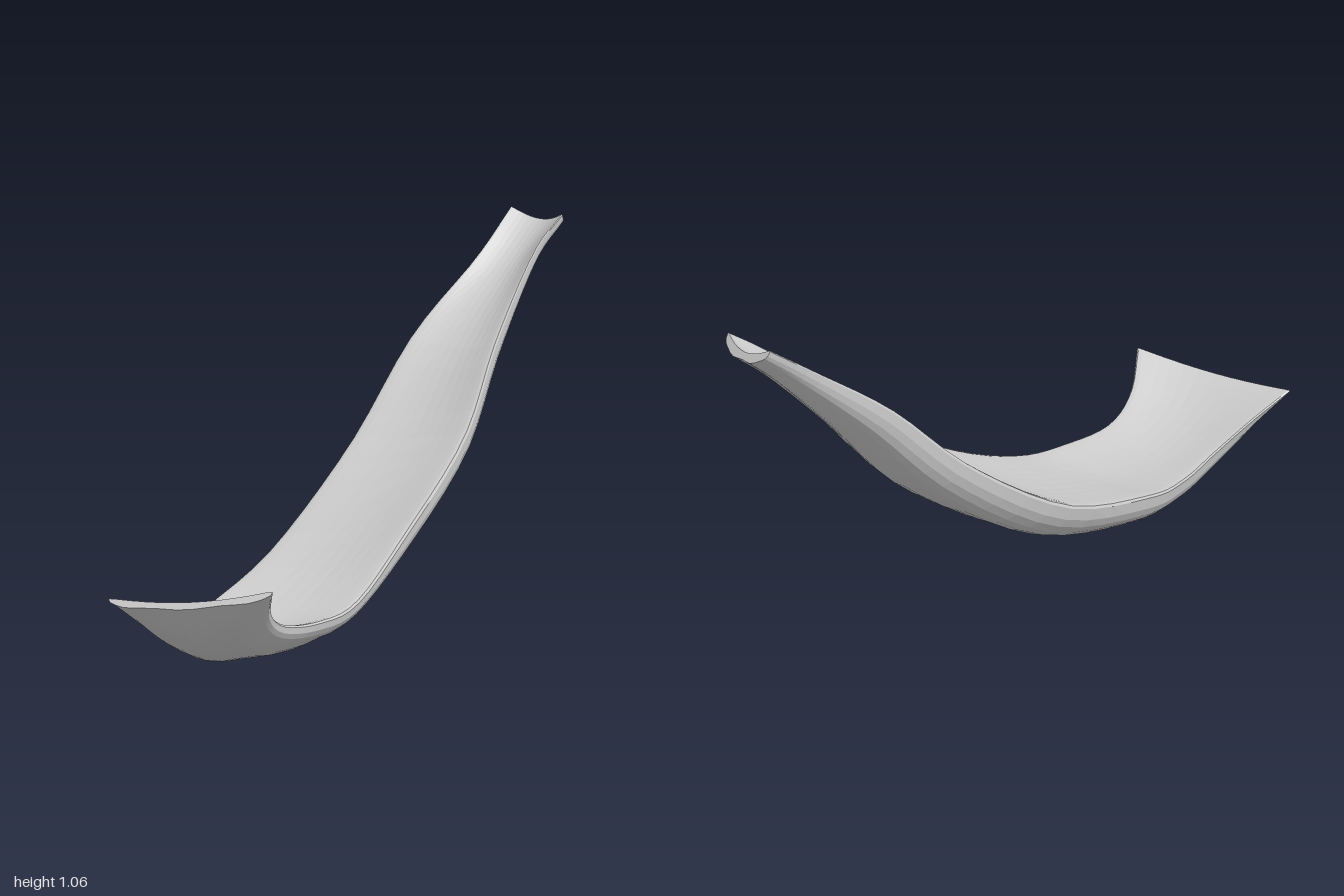
import * as THREE from 'three';

// Stations from the narrow back end to the flared front lip:
// left rim xyz, right rim xyz, [outer depth, trough depth, lean of the belly to the right-hand side of the front view's left]
const STATIONS = [
  [[0.365, 1.05, -0.99], [0.525, 1.045, -0.9], [0.055, 0.04, 0]],
  [[0.285, 0.925, -0.83], [0.46, 0.95, -0.78], [0.07, 0.045, 0]],
  [[0.13, 0.73, -0.61], [0.39, 0.735, -0.5], [0.11, 0.038, 0.05]],
  [[-0.015, 0.455, -0.34], [0.335, 0.5, -0.24], [0.122, 0.032, 0.1]],
  [[-0.19, 0.21, 0.0], [0.21, 0.275, 0.12], [0.122, 0.03, 0.2]],
  [[-0.32, 0.11, 0.35], [0.115, 0.135, 0.43], [0.108, 0.03, 0.25]],
  [[-0.36, 0.09, 0.53], [0.03, 0.108, 0.61], [0.098, 0.03, 0.25]],
  [[-0.39, 0.105, 0.69], [-0.05, 0.12, 0.75], [0.092, 0.032, 0.25]],
  [[-0.455, 0.16, 0.82], [-0.075, 0.175, 0.87], [0.075, 0.035, 0.2]],
  [[-0.535, 0.222, 0.94], [-0.055, 0.262, 0.99], [0.04, 0.028, 0]],
];

const curveOf = (column) => new THREE.CatmullRomCurve3(
  STATIONS.map((s) => new THREE.Vector3(...s[column])), false, 'catmullrom', 0.5);

function curvedShellGeometry(rows, n) {
  const left = curveOf(0);
  const right = curveOf(1);
  const shape = curveOf(2);
  const middle = (t) => left.getPoint(t).add(right.getPoint(t)).multiplyScalar(0.5);
  const ring = 2 * n;
  const positions = [];
  const index = [];

  for (let i = 0; i <= rows; i++) {
    const t = i / rows;
    const mid = middle(t);
    const half = right.getPoint(t).sub(left.getPoint(t)).multiplyScalar(0.5);
    const along = middle(Math.min(1, t + 0.01)).sub(middle(Math.max(0, t - 0.01)));
    const up = along.cross(half).normalize();
    const { x: depth, y: trough, z: lean } = shape.getPoint(t);
    for (let j = 0; j < ring; j++) {
      const outer = j <= n;
      const a = (Math.PI * (outer ? j : ring - j)) / n;
      const u = Math.cos(a);
      const s = Math.max(0, Math.sin(a));
      // Belly with faint lengthwise ridges below, rounded rims and a shallow trough above
      const drop = outer
        ? depth * Math.pow(s, 0.85) * (1 - lean * u) + 0.003 * s * Math.sin(7 * a + 9 * t)
        : trough * s * s - 0.2 * depth * Math.pow(s, 0.6);
      const p = mid.clone().addScaledVector(half, u).addScaledVector(up, -drop);
      positions.push(p.x, p.y, p.z);
    }
  }

  // Skin between neighbouring rings
  for (let i = 0; i < rows; i++) {
    for (let j = 0; j < ring; j++) {
      const k = (j + 1) % ring;
      const a = i * ring + j, b = i * ring + k;
      index.push(a, a + ring, b, a + ring, b + ring, b);
    }
  }

  // Crescent end caps
  const inner = (k) => (ring - k) % ring;
  const cap = (base, flip) => {
    const tri = (a, b, c) => {
      if (a === b || b === c || a === c) return;
      index.push(base + a, base + (flip ? c : b), base + (flip ? b : c));
    };
    for (let k = 0; k < n; k++) {
      tri(k, k + 1, inner(k + 1));
      tri(k, inner(k + 1), inner(k));
    }
  };
  cap(0, false);
  cap(rows * ring, true);

  const geometry = new THREE.BufferGeometry();
  geometry.setAttribute('position', new THREE.Float32BufferAttribute(positions, 3));
  geometry.setIndex(index);

  // Stand on the ground, centred
  geometry.computeBoundingBox();
  const box = geometry.boundingBox;
  const c = box.getCenter(new THREE.Vector3());
  geometry.translate(-c.x, -box.min.y, -c.z);
  geometry.computeVertexNormals();
  return geometry;
}

export function createModel() {
  const group = new THREE.Group();
  group.name = 'curvedStrip';
  const paleGrey = new THREE.MeshStandardMaterial({ color: 0xcccccc, flatShading: true });
  paleGrey.name = 'paleGrey';

  const shell = new THREE.Mesh(curvedShellGeometry(40, 16), paleGrey);
  shell.name = 'curvedShell';
  group.add(shell);
  return group;
}
